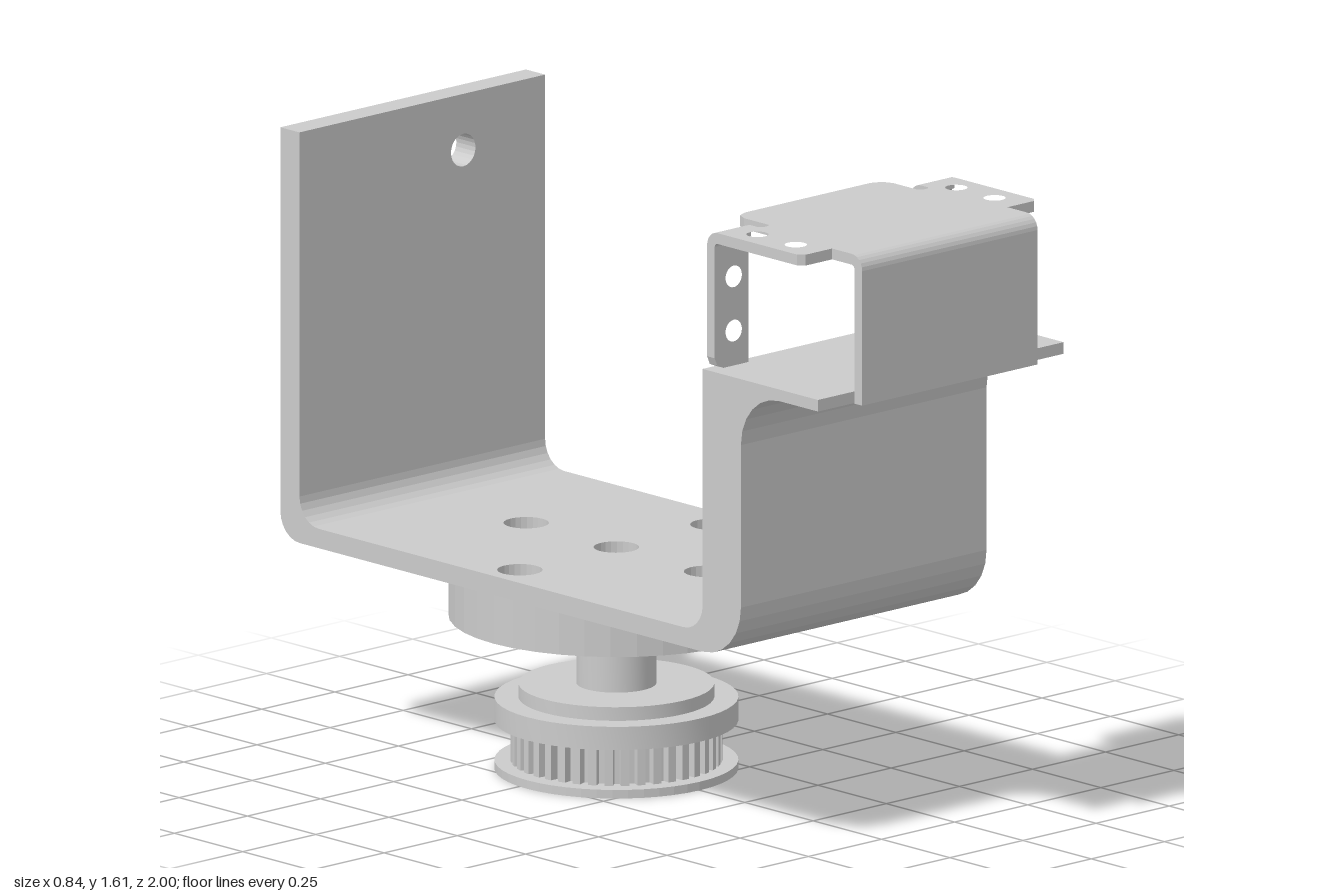
import * as THREE from 'three';
import { toCreasedNormals } from 'three/addons/utils/BufferGeometryUtils.js';

const HALF = 0.42;      // half width of the yoke
const AXIS_Z = -0.22;   // vertical spindle axis
const R_BOLT = 0.33;    // bolt circle radius
const CROSS = [[0, -R_BOLT], [0, R_BOLT], [-R_BOLT, 0], [R_BOLT, 0]];

const material = new THREE.MeshStandardMaterial({ color: 0xcccccc });

function add(group, name, geometry) {
  const mesh = new THREE.Mesh(geometry, material);
  mesh.name = name;
  group.add(mesh);
  return mesh;
}

function polygon(points) {
  return new THREE.Shape(points.map(([x, y]) => new THREE.Vector2(x, y)));
}

function punch(shape, x, y, r) {
  const hole = new THREE.Path();
  hole.absarc(x, y, r, 0, Math.PI * 2, true);
  shape.holes.push(hole);
}

function disc(r) {
  const s = new THREE.Shape();
  s.absarc(0, 0, r, 0, Math.PI * 2, false);
  return s;
}

function extrude(shape, depth, curveSegments) {
  return new THREE.ExtrudeGeometry(shape, { depth, curveSegments, bevelEnabled: false });
}

// Side profile drawn in (z, y), swept across x from x0 to x1
function sweepX(shape, x0, x1) {
  return extrude(shape, x1 - x0, 3).rotateY(-Math.PI / 2).translate(x1, 0, 0);
}

// Plan outline drawn in (x, z), filling the height y0 to y1
function slab(shape, y0, y1, curveSegments = 12) {
  return extrude(shape, y1 - y0, curveSegments).rotateX(Math.PI / 2).translate(0, y1, 0);
}

function turned(points) {
  const pts = [...points, points[0]].map(([r, y]) => new THREE.Vector2(r, y));
  return toCreasedNormals(new THREE.LatheGeometry(pts, 48), 0.5);
}

function buildYoke() {
  const g = new THREE.Group();
  g.name = 'yoke';

  // front wall with its bottom bend and the outward shelf
  const front = new THREE.Shape();
  front.moveTo(0.475, 0.52);
  front.lineTo(0.545, 0.52);
  front.absarc(0.545, 0.66, 0.14, -Math.PI / 2, 0, false);
  front.lineTo(0.685, 1.08);
  front.absarc(0.825, 1.08, 0.14, Math.PI, Math.PI / 2, true);
  front.lineTo(0.967, 1.22);
  front.lineTo(0.967, 1.25);
  front.lineTo(0.545, 1.25);
  front.lineTo(0.545, 0.64);
  front.absarc(0.475, 0.64, 0.07, 0, -Math.PI / 2, true);
  add(g, 'frontWall', sweepX(front, -HALF, HALF));

  // base plate with counterbored bolt holes
  const base = polygon([[-HALF, -0.86], [HALF, -0.86], [HALF, 0.475], [-HALF, 0.475]]);
  [[0, 0], ...CROSS].forEach(([x, z]) => punch(base, x, z + AXIS_Z, 0.057));
  add(g, 'basePlate', slab(base, 0.52, 0.57));

  // bend between base and rear wall
  const bend = new THREE.Shape();
  bend.moveTo(-0.86, 0.57);
  bend.absarc(-0.86, 0.64, 0.07, -Math.PI / 2, -Math.PI, true);
  bend.lineTo(-1, 0.64);
  bend.lineTo(-1, 0.59);
  bend.absarc(-0.93, 0.59, 0.07, Math.PI, Math.PI * 1.5, false);
  bend.lineTo(-0.86, 0.52);
  add(g, 'rearBend', sweepX(bend, -HALF, HALF));

  // rear wall with an offset pivot hole
  const rear = polygon([[-HALF, 0.64], [HALF, 0.64], [HALF, 1.58], [-HALF, 1.58]]);
  punch(rear, 0.14, 1.435, 0.042);
  add(g, 'rearWall', extrude(rear, 0.07, 12).translate(0, 0, -1));
  return g;
}

function buildMount() {
  const g = new THREE.Group();
  g.name = 'motorMount';
  const top = 1.605, t = 0.028, r = 0.038;

  // front plate folding into the top
  const fold = new THREE.Shape();
  fold.moveTo(1 - t, 1.22);
  fold.lineTo(1, 1.22);
  fold.lineTo(1, top - r);
  fold.absarc(1 - r, top - r, r, 0, Math.PI / 2, false);
  fold.lineTo(1 - r, top - t);
  fold.absarc(1 - r, top - r, r - t, Math.PI / 2, 0, true);
  add(g, 'frontPlate', sweepX(fold, -0.3, 0.3));

  // top plate: shoulders, relief slots and a rounded centre tongue
  const half = [[0.3, 1 - r], [0.3, 0.89], [0.39, 0.89], [0.405, 0.875], [0.405, 0.583],
    [0.29, 0.583], [0.29, 0.61], [0.282, 0.618], [0.263, 0.618], [0.255, 0.61],
    [0.255, 0.52], [0.243, 0.492], [0.215, 0.48]];
  const plate = polygon([...half, ...half.map(([x, z]) => [-x, z]).reverse()]);
  for (const s of [-1, 1]) for (const z of [0.66, 0.8]) punch(plate, s * 0.34, z, 0.028);
  add(g, 'topPlate', slab(plate, top - t, top));

  // two drilled tabs folded down onto the front wall
  const tabFold = new THREE.Shape();
  tabFold.moveTo(0.583, top);
  tabFold.absarc(0.583, top - r, r, Math.PI / 2, Math.PI, false);
  tabFold.lineTo(0.545 + t, top - r);
  tabFold.absarc(0.583, top - r, r - t, Math.PI, Math.PI / 2, true);
  for (const s of [-1, 1]) {
    const [a, b] = s > 0 ? [0.29, 0.405] : [-0.405, -0.29];
    add(g, 'tabFold', sweepX(tabFold, a, b));
    const tab = polygon([[s * 0.29, 1.25], [s * 0.375, 1.25], [s * 0.396, 1.259],
      [s * 0.405, 1.28], [s * 0.405, top - r], [s * 0.29, top - r]]);
    for (const y of [1.34, 1.48]) punch(tab, s * 0.34, y, 0.028);
    add(g, 'tab', extrude(tab, t, 12).translate(0, 0, 0.545));
  }
  return g;
}

function buildSpindle() {
  const g = new THREE.Group();
  g.name = 'spindle';
  g.position.z = AXIS_Z;
  const bore = 0.03;

  // bolted flange under the yoke
  const flange = disc(0.42);
  [[0, 0], ...CROSS].forEach(([x, z]) => punch(flange, x, z, bore));
  add(g, 'flange', slab(flange, 0.395, 0.52, 20));
  add(g, 'flangeRing', turned([[0.16, 0.365], [0.245, 0.365], [0.245, 0.396], [0.16, 0.396]]));
  add(g, 'shaft', turned([[bore, 0.18], [0.1, 0.18], [0.1, 0.396], [bore, 0.396]]));

  // pulley: upper rim with collar, toothed drum, lower rim
  add(g, 'pulleyUpperRim', turned([[bore, 0.125], [0.305, 0.125], [0.305, 0.185],
    [0.245, 0.185], [0.245, 0.22], [bore, 0.22]]));

  const teeth = 40, outline = [];
  for (let i = 0; i < teeth; i++) {
    for (const [f, r] of [[0, 0.265], [0.5, 0.265], [0.58, 0.243], [0.92, 0.243]]) {
      const a = ((i + f) / teeth) * Math.PI * 2;
      outline.push([r * Math.cos(a), r * Math.sin(a)]);
    }
  }
  const drum = polygon(outline);
  punch(drum, 0, 0, bore);
  add(g, 'pulleyTeeth', slab(drum, 0.022, 0.125));

  const rim = disc(0.305);
  punch(rim, 0, 0, bore);
  CROSS.forEach(([x, z]) => punch(rim, x * 0.24, z * 0.24, 0.014));
  add(g, 'pulleyLowerRim', slab(rim, 0, 0.022, 24));
  return g;
}

export function createModel() {
  const model = new THREE.Group();
  model.name = 'panTiltBracket';
  model.add(buildYoke(), buildMount(), buildSpindle());
  return model;
}
